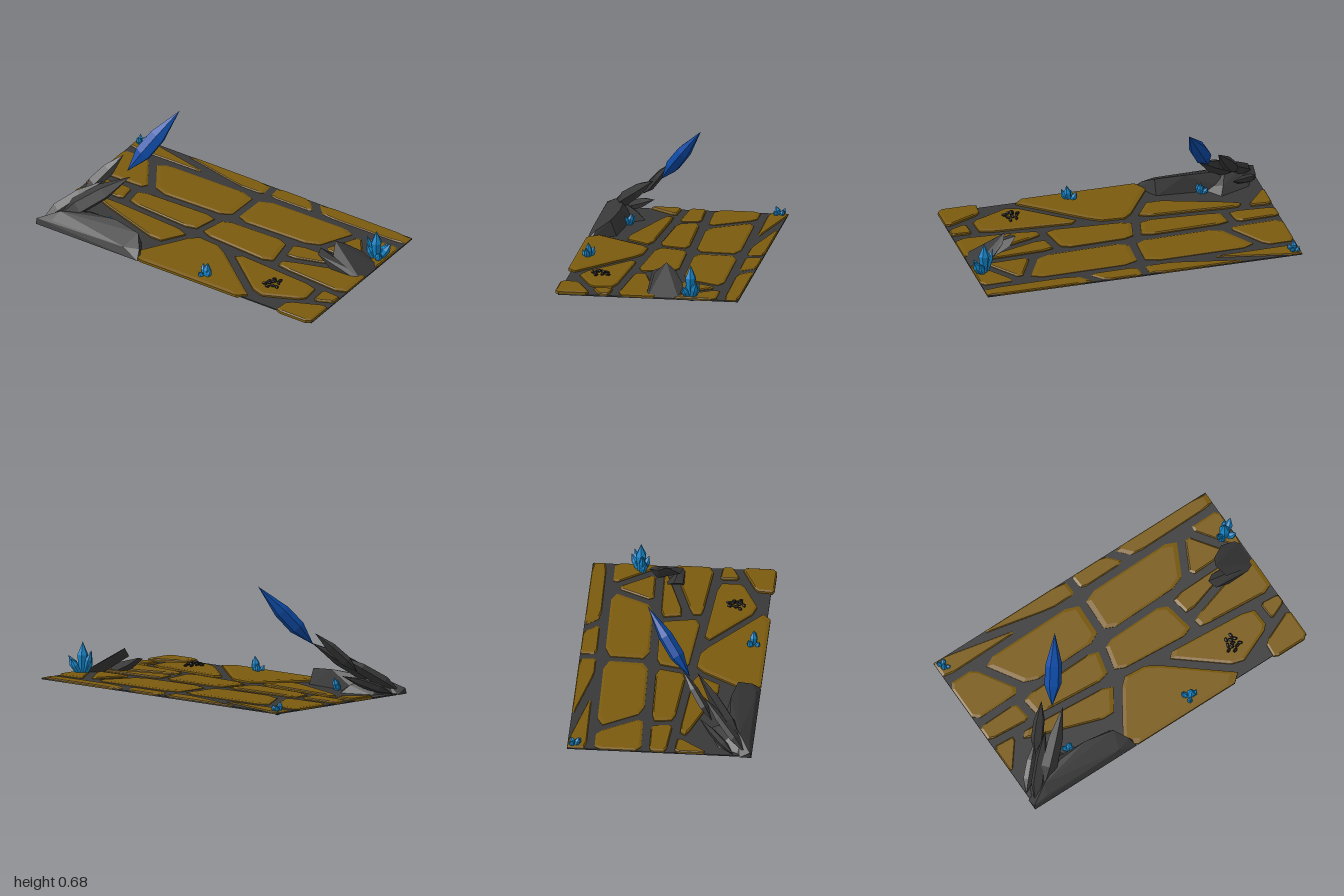
import * as THREE from 'three';
import { ConvexGeometry } from 'three/addons/geometries/ConvexGeometry.js';

const V = (x, y, z) => new THREE.Vector3(x, y, z);
const hull = (points) => new ConvexGeometry(points.map((p) => V(...p)));
const material = (name, color) => {
  const m = new THREE.MeshStandardMaterial({ color });
  m.name = name;
  return m;
};

// Faceted spindle between two points: rings are [fraction along, radius]
function spindle(from, to, rings, sides, flat, twist) {
  const a = V(...from), b = V(...to);
  const q = new THREE.Quaternion().setFromUnitVectors(V(0, 1, 0), b.clone().sub(a).normalize());
  const points = [a, b];
  rings.forEach(([t, r]) => {
    for (let i = 0; i < sides; i++) {
      const angle = twist + (i / sides) * Math.PI * 2;
      points.push(V(Math.cos(angle) * r, 0, Math.sin(angle) * r * flat)
        .applyQuaternion(q).add(a.clone().lerp(b, t)));
    }
  });
  return new ConvexGeometry(points);
}

// Signed distance of a ground point from the line through a crack
const side = ([x1, z1, x2, z2], [x, z]) =>
  ((x2 - x1) * (z - z1) - (z2 - z1) * (x - x1)) / Math.hypot(x2 - x1, z2 - z1);

// Part of a convex outline lying beyond half a joint on one side of a crack
function clip(outline, crack, sign) {
  const result = [];
  outline.forEach((p, i) => {
    const next = outline[(i + 1) % outline.length];
    const d = sign * side(crack, p) - 0.025, e = sign * side(crack, next) - 0.025;
    if (d >= 0) result.push(p);
    if (d * e < 0) result.push(p.map((v, k) => v + (next[k] - v) * d / (d - e)));
  });
  return result;
}

const contains = (outline, point) => outline.every((p, i) =>
  side([...p, ...outline[(i + 1) % outline.length]], point) > 0);

// Split the paved rectangle: each crack divides the piece under its midpoint
function crackPaving(cracks) {
  let pieces = [[[-0.99, -0.56], [0.97, -0.56], [0.97, 0.55], [-0.99, 0.55]]];
  cracks.forEach((c) => {
    const middle = [(c[0] + c[2]) / 2, (c[1] + c[3]) / 2];
    pieces = pieces.flatMap((p) => (contains(p, middle) ? [clip(p, c, 1), clip(p, c, -1)] : [p]));
  });
  return pieces;
}

// Slab with chipped corners and a bevelled top
function slabGeometry(outline) {
  const n = outline.length;
  const cx = outline.reduce((s, p) => s + p[0], 0) / n;
  const cz = outline.reduce((s, p) => s + p[1], 0) / n;
  const top = 0.027 + 0.011 * cz;
  const points = [];
  outline.forEach((p, i) => {
    [outline[(i + 1) % n], outline[(i + n - 1) % n]].forEach((other) => {
      const [x, z] = p.map((v, k) => v + (other[k] - v) * 0.12);
      points.push([x, 0.01, z], [x, top - 0.004, z]);
      points.push([cx + (x - cx) * 0.9, top + 0.002, cz + (z - cz) * 0.9]);
    });
  });
  return hull(points);
}

export function createModel() {
  const stone = material('dark stone', 0x383838);
  const ochre = material('ochre paving', 0x7a5a0e);
  const skyBlue = material('light blue crystal', 0x1585c8);
  const deepBlue = material('deep blue crystal', 0x0d4aa5);
  const soot = material('black pebble', 0x1c1a18);

  const model = new THREE.Group();
  const add = (name, geometry, mat, parent) => {
    const mesh = new THREE.Mesh(geometry, mat);
    mesh.name = name;
    parent.add(mesh);
    return mesh;
  };
  const group = (name) => {
    const g = new THREE.Group();
    g.name = name;
    model.add(g);
    return g;
  };

  // Ground sheet
  const ground = add('ground', new THREE.BoxGeometry(1.96, 0.008, 1.09), stone, model);
  ground.position.set(-0.01, 0.012, -0.015);

  // Paving: cracks [x1, z1, x2, z2], row by row from the back
  const cracks = [
    [-0.99, -0.42, 0.97, -0.45], [-0.99, -0.09, 0.97, -0.15], [-0.99, 0.06, 0.97, 0.2],
    [-0.02, -0.56, -0.01, -0.42], [-0.8, -0.56, -0.1, -0.41], [0.27, -0.56, 0.36, -0.46],
    [-0.8, -0.42, -0.6, -0.1], [-0.035, -0.4, -0.045, -0.13], [0.685, -0.4, 0.565, -0.16], [0.735, -0.41, 0.885, -0.2],
    [-0.7, -0.09, -0.68, 0.08], [-0.09, -0.12, -0.15, 0.14], [0.4, -0.11, 0.45, 0.16], [0.47, 0.05, 0.68, -0.015],
    [-0.145, 0.16, -0.4, 0.56], [-0.78, 0.06, -0.96, 0.29], [-0.72, 0.2, -0.27, 0.35],
    [0.16, 0.2, 0.59, 0.55], [0.97, 0.31, 0.54, 0.5], [0.82, 0.19, 0.83, 0.36], [0.71, 0.43, 0.7, 0.56],
  ];
  const bareSpots = [[-0.6, 0.45], [0.65, 0.5]];
  const paving = group('paving');
  crackPaving(cracks)
    .filter((outline) => !bareSpots.some((spot) => contains(outline, spot)))
    .forEach((outline) => add('slab', slabGeometry(outline), ochre, paving));

  // Long low rock at the front corner, with rubble behind it
  const corner = group('cornerRocks');
  add('lowRock', hull([
    [-1, 0.01, 0.55], [-0.27, 0.01, 0.55], [-0.26, 0.01, 0.52], [-0.35, 0.01, 0.38], [-0.8, 0.01, 0.34],
    [-1, 0.01, 0.48], [-1, 0.045, 0.54], [-0.9, 0.06, 0.53], [-0.38, 0.06, 0.53], [-0.29, 0.06, 0.5],
    [-0.35, 0.11, 0.42], [-0.53, 0.125, 0.39], [-0.72, 0.115, 0.4], [-0.88, 0.1, 0.47],
  ]), stone, corner);
  add('rubble', hull([
    [-0.99, 0.01, 0.5], [-0.6, 0.01, 0.42], [-0.72, 0.01, 0.26], [-0.92, 0.01, 0.34],
    [-0.78, 0.1, 0.4], [-0.88, 0.09, 0.42], [-0.75, 0.06, 0.32],
  ]), stone, corner);

  // Leaning stone shards: foot, tip, thickness
  [
    [[-0.83, 0.15, 0.3], [-0.66, 0.39, 0.11], 0.045],
    [[-0.89, 0.06, 0.48], [-0.56, 0.31, 0.19], 0.06],
    [[-0.98, 0.02, 0.52], [-0.72, 0.25, 0.24], 0.05],
    [[-0.99, 0.02, 0.44], [-0.78, 0.13, 0.22], 0.04],
  ].forEach(([foot, tip, r], i) =>
    add('shard', spindle(foot, tip, [[0.27, r], [0.63, r * 0.9]], 5, 0.6, i * 0.7), stone, corner));

  // Leaning rocks at the side edge
  const edge = group('edgeRocks');
  add('tallEdgeRock', hull([
    [0.73, 0.17, -0.09], [0.76, 0.13, -0.15], [0.85, 0.07, -0.21], [0.97, 0.012, -0.2],
    [0.97, 0.012, -0.01], [0.76, 0.11, -0.02], [0.85, 0.012, -0.16],
  ]), stone, edge);
  add('lowEdgeRock', hull([
    [0.65, 0.115, -0.05], [0.67, 0.1, 0.005], [0.7, 0.07, -0.09], [0.82, 0.012, -0.1],
    [0.96, 0.012, 0], [0.9, 0.05, -0.03], [0.78, 0.015, 0.005],
  ]), stone, edge);

  // Large floating crystal
  add('floatingCrystal', spindle([-0.61, 0.31, 0.15], [-0.41, 0.67, -0.12],
    [[0.3, 0.055], [0.58, 0.053]], 6, 0.8, 0.4), deepBlue, model);

  // Small crystal clusters: root [x, z], then each crystal's [offset x, tip height, offset z, radius]
  const clusters = [
    [[0.91, -0.265], [[0, 0.21, 0, 0.034], [-0.06, 0.165, 0.015, 0.021], [0.075, 0.125, -0.045, 0.026],
      [0.055, 0.09, 0.045, 0.022], [-0.05, 0.12, 0.03, 0.024], [0.04, 0.11, -0.06, 0.022]]],
    [[0.165, 0.47], [[0.02, 0.12, 0, 0.024], [0.05, 0.095, 0.01, 0.018],
      [-0.035, 0.085, -0.03, 0.019], [-0.02, 0.065, 0.04, 0.017]]],
    [[-0.955, -0.515], [[0, 0.075, 0.025, 0.019], [0.025, 0.06, -0.025, 0.017],
      [-0.02, 0.06, -0.03, 0.015], [0.035, 0.05, 0.035, 0.015]]],
    [[-0.62, 0.35], [[0.01, 0.09, -0.02, 0.02], [0.02, 0.07, 0.02, 0.018], [-0.035, 0.06, -0.03, 0.016]]],
  ];
  clusters.forEach(([[x, z], crystals]) => {
    const cluster = group('crystalCluster');
    crystals.forEach(([dx, height, dz, r], i) => {
      const geometry = spindle([x + dx * 0.15, 0, z + dz * 0.15], [x + dx, height, z + dz],
        [[0, r * 0.6], [0.62, r]], 6, 1, i);
      add('crystal', geometry, skyBlue, cluster);
    });
  });

  // Little heap of dark pebbles, wound outwards
  const heap = group('pebbles');
  for (let i = 0; i < 11; i++) {
    const angle = i * 2.4, reach = 0.018 * Math.sqrt(i);
    const pebble = add('pebble', new THREE.IcosahedronGeometry(0.014, 0), soot, heap);
    pebble.position.set(0.565 + Math.cos(angle) * reach * 0.85, 0.055 - reach * 0.28, 0.34 + Math.sin(angle) * reach);
    pebble.scale.set(1.3, 0.75, 0.8);
    pebble.rotation.y = i * 1.1;
  }
  return model;
}
